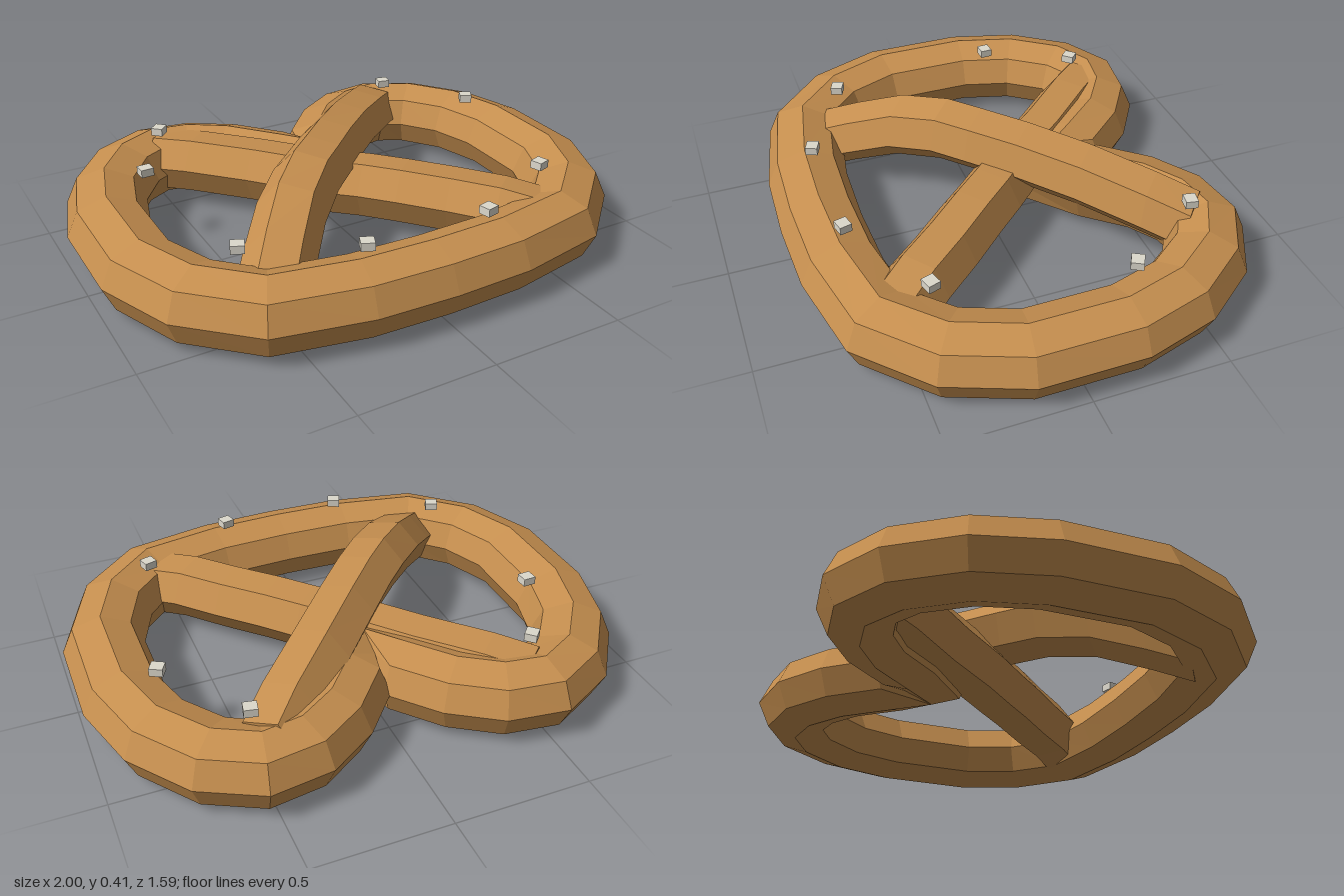
import * as THREE from 'three';

// Sweeps an elliptical polygon along a path of [x, y, z] points.
function sweep(path, { sides, rx, ry, roll = 0, closed = false }) {
  const pts = path.map(p => new THREE.Vector3(...p));
  const n = pts.length, verts = [], index = [];
  pts.forEach((p, i) => {
    const prev = closed ? pts[(i + n - 1) % n] : pts[Math.max(i - 1, 0)];
    const next = closed ? pts[(i + 1) % n] : pts[Math.min(i + 1, n - 1)];
    const t = next.clone().sub(prev).setY(0).normalize();
    for (let j = 0; j < sides; j++) {
      const a = (j / sides) * Math.PI * 2 + roll;
      const c = Math.cos(a) * rx;
      verts.push(p.x - t.z * c, p.y + Math.sin(a) * ry, p.z + t.x * c);
    }
  });
  const spans = closed ? n : n - 1;
  for (let i = 0; i < spans; i++) {
    for (let j = 0; j < sides; j++) {
      const k = (j + 1) % sides, r = i * sides, s = ((i + 1) % n) * sides;
      index.push(r + j, s + j, r + k, s + j, s + k, r + k);
    }
  }
  // End caps
  if (!closed) {
    const e = (n - 1) * sides;
    for (let j = 1; j < sides - 1; j++) index.push(0, j, j + 1, e, e + j + 1, e + j);
  }
  const geo = new THREE.BufferGeometry();
  geo.setAttribute('position', new THREE.Float32BufferAttribute(verts, 3));
  geo.setIndex(index);
  geo.computeVertexNormals();
  return geo;
}

export function createModel() {
  const group = new THREE.Group();
  const crust = new THREE.MeshStandardMaterial({ color: 0xc68f4f, flatShading: true });
  crust.name = 'bakedCrust';
  const saltWhite = new THREE.MeshStandardMaterial({ color: 0xdcd8cc, flatShading: true });
  saltWhite.name = 'saltWhite';

  const add = (name, geo, mat) => {
    const mesh = new THREE.Mesh(geo, mat);
    mesh.name = name;
    group.add(mesh);
    return mesh;
  };

  // Heart-shaped outer ring: half outline from front centre to back notch, mirrored
  const half = [
    [0, 0.64], [0.28, 0.63], [0.58, 0.573], [0.76, 0.4], [0.852, 0.17], [0.852, -0.177],
    [0.788, -0.4], [0.66, -0.573], [0.515, -0.65], [0.37, -0.627], [0.233, -0.536],
    [0.1, -0.38], [0, -0.26],
  ];
  const mirrored = half.slice(1, -1).reverse().map(([x, z]) => [-x, z]);
  const ring = [...half, ...mirrored].map(([x, z]) => [x, 0.136, z]);
  add('outerRing', sweep(ring, { sides: 8, rx: 0.15, ry: 0.136, closed: true }), crust);

  // Crossing strands: the upper one arches over the lower one
  const upper = [
    [0.49, 0.165, -0.62], [0.38, 0.205, -0.5], [0.2, 0.25, -0.32], [0.03, 0.28, -0.14],
    [-0.1, 0.293, 0], [-0.2, 0.297, 0.1], [-0.33, 0.265, 0.24], [-0.45, 0.19, 0.39],
    [-0.54, 0.125, 0.51],
  ];
  const strand = { sides: 6, rx: 0.125, ry: 0.12 };
  add('upperStrand', sweep(upper, { ...strand, roll: 0.2 }), crust);

  const lower = [
    [-0.49, 0.155, -0.62], [-0.38, 0.165, -0.5], [-0.2, 0.165, -0.31], [-0.03, 0.165, -0.11],
    [0.1, 0.17, 0.02], [0.2, 0.17, 0.13], [0.33, 0.165, 0.27], [0.45, 0.16, 0.41],
    [0.54, 0.14, 0.51],
  ];
  add('lowerStrand', sweep(lower, { ...strand, roll: 0.08 }), crust);

  // Salt grains: x, z, turn
  const grains = [
    [-0.51, -0.56, 0.8], [0.525, -0.57, -0.2], [-0.68, -0.24, 0.05], [0.745, -0.255, -0.5],
    [-0.61, 0.42, -0.4], [0.61, 0.41, 0.3], [-0.24, 0.605, -0.4], [0.237, 0.605, 0.25],
  ];
  const grainGeo = new THREE.BoxGeometry(0.048, 0.03, 0.045);
  for (const [x, z, turn] of grains) {
    const grain = add('saltGrain', grainGeo, saltWhite);
    grain.position.set(x, 0.303, z);
    grain.rotation.y = turn;
  }
  return group;
}
